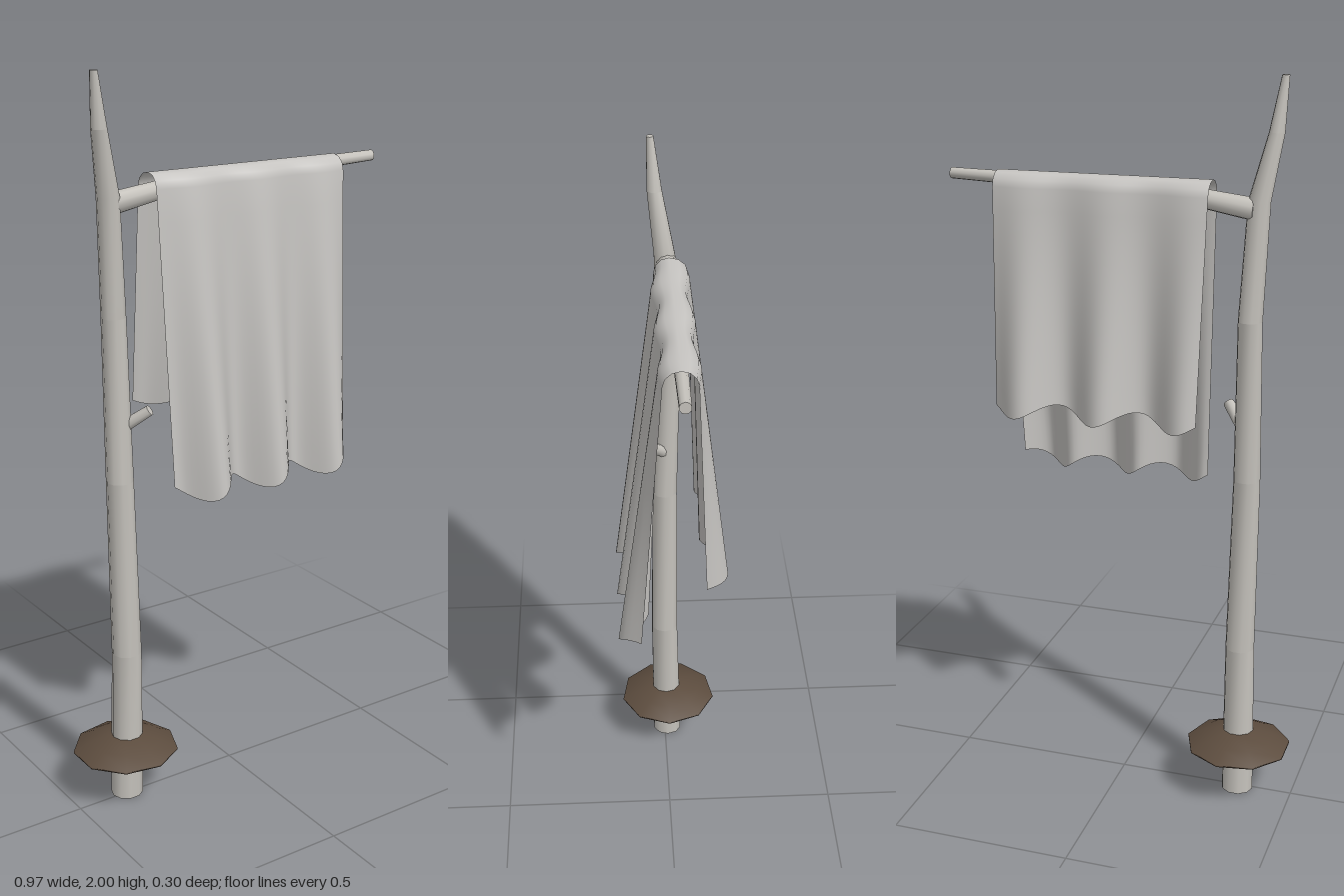
import * as THREE from 'three';

const mat = (name, color, side = THREE.FrontSide) => {
  const m = new THREE.MeshStandardMaterial({ color, side });
  m.name = name;
  return m;
};

// Smooth tapered limb: each stop is [x, y, z, radius]; rings lie square to the axis, ends are capped
function limb(stops, axis, sides = 10) {
  const a = new THREE.Vector3(...axis).normalize();
  const u = Math.abs(a.x) < 0.8 ? new THREE.Vector3(1, 0, 0) : new THREE.Vector3(0, 1, 0);
  u.addScaledVector(a, -u.dot(a)).normalize();
  const v = new THREE.Vector3().crossVectors(a, u);
  const pos = [], idx = [];
  const ring = ([x, y, z, r]) => {
    const start = pos.length / 3;
    for (let j = 0; j < sides; j++) {
      const t = (j / sides) * Math.PI * 2;
      const p = new THREE.Vector3(x, y, z).addScaledVector(u, r * Math.cos(t)).addScaledVector(v, r * Math.sin(t));
      pos.push(p.x, p.y, p.z);
    }
    return start;
  };
  const starts = stops.map(ring);
  for (let i = 0; i < starts.length - 1; i++) {
    for (let j = 0; j < sides; j++) {
      const k = (j + 1) % sides, A = starts[i], B = starts[i + 1];
      idx.push(A + j, A + k, B + k, A + j, B + k, B + j);
    }
  }
  // Flat caps on their own vertices so the rims stay sharp
  [stops[0], stops[stops.length - 1]].forEach((s, end) => {
    const c = ring(s);
    for (let j = 1; j < sides - 1; j++) {
      if (end) idx.push(c, c + j, c + j + 1);
      else idx.push(c, c + j + 1, c + j);
    }
  });
  const g = new THREE.BufferGeometry();
  g.setAttribute('position', new THREE.Float32BufferAttribute(pos, 3));
  g.setIndex(idx);
  g.computeVertexNormals();
  return g;
}

// Cloth folded over the bar: front panel, rounded fold and shorter back panel in one sheet
function clothGeometry() {
  const cols = 48, panel = 10, fold = 6;
  const rows = panel * 2 + fold;
  const g = new THREE.PlaneGeometry(1, 1, cols, rows);
  const p = g.attributes.position;
  const wave = (x, peak, period) => Math.cos(((x - peak) / period) * Math.PI * 2);
  for (let r = 0; r <= rows; r++) {
    for (let c = 0; c <= cols; c++) {
      const s = c / cols;
      const x0 = -0.24 + 0.59 * s;
      let x = x0, y, z;
      if (r > panel && r < panel + fold) {
        const t = ((r - panel) / fold) * Math.PI;
        y = 1.7 + 0.04 * Math.sin(t);
        z = -0.01 + 0.046 * Math.cos(t);
        z += 0.006 * Math.cos(t) * (t < Math.PI / 2 ? wave(x0, -0.125, 0.205) : wave(x0, -0.2, 0.23));
      } else if (r <= panel) {
        const d = 1 - r / panel;
        y = 1.7 - d * (0.8 + 0.022 * wave(x0, -0.165, 0.205));
        z = 0.036 + d * 0.07 + (0.006 + 0.036 * d) * wave(x0, -0.125, 0.205);
        x = x0 + d * 0.02 * (1 - 2 * s);
      } else {
        const d = (r - panel - fold) / panel;
        y = 1.7 - d * (0.595 + 0.018 * wave(x0, -0.17, 0.23));
        z = -0.056 - d * 0.048 - (0.006 + 0.028 * d) * wave(x0, -0.2, 0.23);
        x = x0 + d * 0.006 * (1 - 2 * s);
      }
      p.setXYZ(r * (cols + 1) + c, x, y, z);
    }
  }
  // Rows run upward from the front hem, so flip the faces to point outward
  const ix = g.index.array;
  for (let i = 0; i < ix.length; i += 3) [ix[i], ix[i + 1]] = [ix[i + 1], ix[i]];
  g.computeVertexNormals();
  return g;
}

export function createModel() {
  const group = new THREE.Group();
  const wood = mat('pale grey wood', 0xc4c1bb);
  const linen = mat('pale grey cloth', 0xc6c4c1, THREE.DoubleSide);
  const earth = mat('dark brown earth', 0x5c4c3e);
  const add = (name, geometry, material) => {
    const m = new THREE.Mesh(geometry, material);
    m.name = name;
    group.add(m);
    return m;
  };

  // Crooked pole, made of stacked tapering lengths
  const stops = [
    [-0.345, 0, -0.008, 0.045], [-0.34, 0.44, 0, 0.041], [-0.347, 0.94, -0.002, 0.037],
    [-0.347, 1.38, -0.014, 0.033], [-0.36, 1.69, -0.004, 0.03], [-0.394, 1.86, 0.021, 0.021],
    [-0.41, 2, 0.031, 0.01],
  ];
  [[0, 1], [1, 2], [2, 3], [3, 5], [5, 6]].forEach(([a, b], i) => {
    add('poleLength' + (i + 1), limb(stops.slice(a, b + 1), [0, 1, 0]), wood);
  });

  // Side branch carrying the cloth
  add('crossBranch', limb([
    [-0.35, 1.67, -0.01, 0.03], [-0.2, 1.693, -0.011, 0.025],
    [0.1, 1.712, -0.012, 0.02], [0.483, 1.724, -0.012, 0.015],
  ], [1, 0.05, 0]), wood);

  // Broken twig
  add('twig', limb([[-0.335, 1.085, -0.005, 0.018], [-0.28, 1.136, 0.046, 0.015]], [0.055, 0.051, 0.051], 8), wood);

  add('hangingCloth', clothGeometry(), linen);

  // Low earth mound around the pole
  const profile = [[0, 0.14], [0.147, 0.14], [0.147, 0.145], [0.1, 0.168], [0.05, 0.186], [0, 0.19]]
    .map(([r, y]) => new THREE.Vector2(r, y));
  const mound = add('earthMound', new THREE.LatheGeometry(profile, 9, Math.PI / 2), earth);
  mound.position.set(-0.345, 0, -0.01);

  return group;
}
